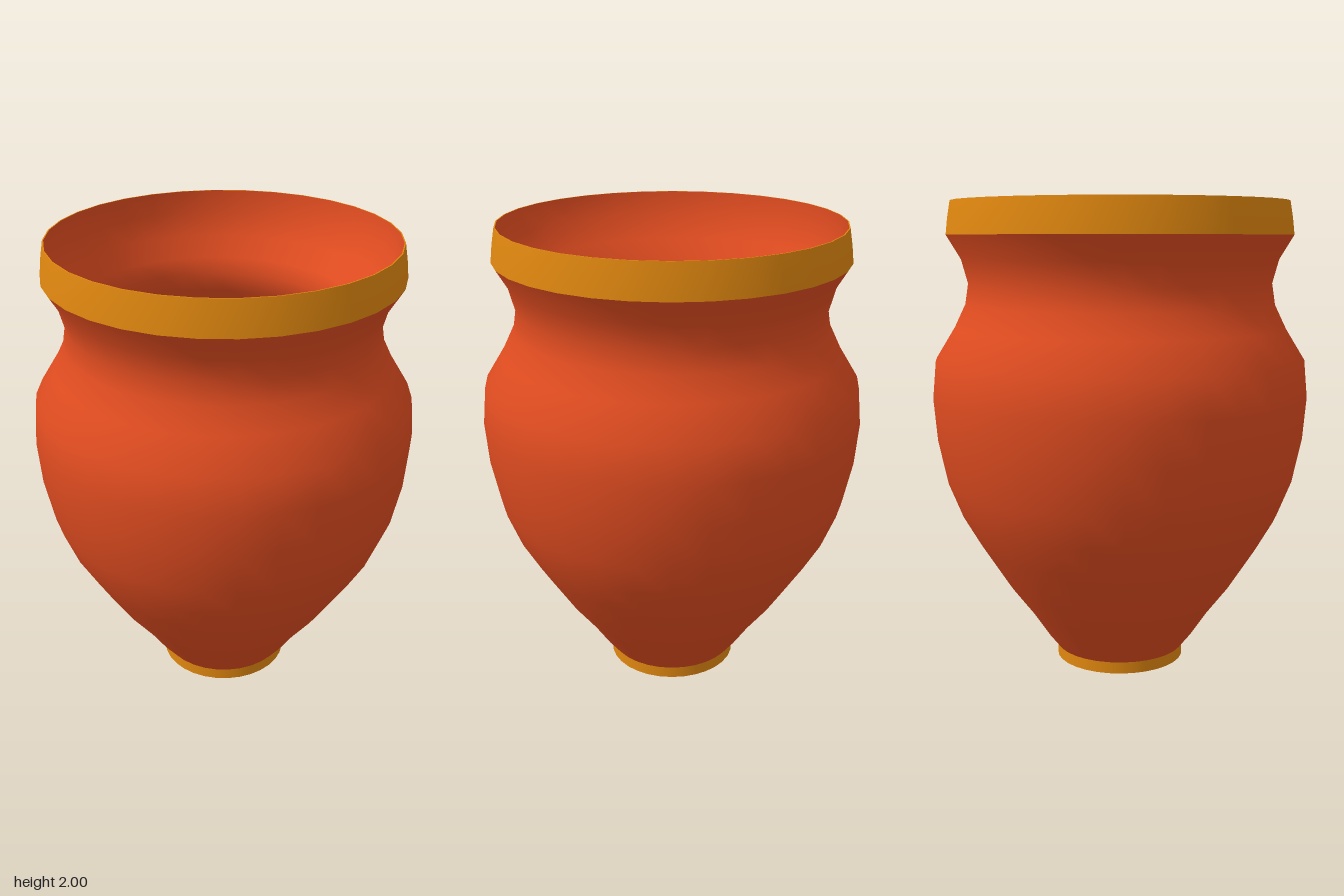
import * as THREE from 'three';
import { mergeVertices } from 'three/addons/utils/BufferGeometryUtils.js';

const SEGMENTS = 32;
const clay = new THREE.MeshStandardMaterial({ color: 0xe04c20 });
const glaze = new THREE.MeshStandardMaterial({ color: 0xe0870f });

// Revolve [radius, y] points: upward points face out, downward points face in
function lathe(points) {
  return new THREE.LatheGeometry(points.map(([r, y]) => new THREE.Vector2(r, y)), SEGMENTS);
}

// Weld the seam and recompute smooth normals after moving vertices
function smooth(geometry) {
  geometry.deleteAttribute('uv');
  geometry.deleteAttribute('normal');
  const welded = mergeVertices(geometry, 1e-4);
  welded.computeVertexNormals();
  return welded;
}

// The hollow leans toward the back and sits off centre below the neck
function shiftHollow(geometry) {
  const p = geometry.attributes.position;
  for (let i = 0; i < p.count; i++) {
    const y = p.getY(i);
    const t = THREE.MathUtils.smoothstep(2 - y, 0, 0.36);
    const dx = THREE.MathUtils.lerp(0.02, -0.02, THREE.MathUtils.clamp(y / 1.65, 0, 1));
    p.setX(i, p.getX(i) + dx * t);
    p.setZ(i, p.getZ(i) - 0.08 * t);
  }
  return smooth(geometry);
}

export function createModel() {
  const group = new THREE.Group();
  const add = (name, geometry, material) => {
    const mesh = new THREE.Mesh(geometry, material);
    mesh.name = name;
    group.add(mesh);
  };

  // Foot
  add('foot', new THREE.CylinderGeometry(0.28, 0.28, 0.05, SEGMENTS).translate(0, 0.025, 0), glaze);

  // Outer wall: tapering belly, shoulder, pinched neck and flare
  add('outerWall', lathe([
    [0.28, 0.05], [0.335, 0.12], [0.405, 0.225], [0.5, 0.35], [0.615, 0.53], [0.69, 0.66],
    [0.75, 0.81], [0.79, 1.0], [0.805, 1.18], [0.79, 1.34], [0.71, 1.47], [0.662, 1.57],
    [0.648, 1.66], [0.675, 1.76], [0.735, 1.86],
  ]), clay);

  // Rim band and its thin lip
  add('rim', lathe([[0.735, 1.86], [0.727, 1.93], [0.715, 2]]), glaze);
  add('rimLip', lathe([[0.715, 2], [0.71, 2]]), glaze);

  // Inner wall, running down from the lip to a raised floor ring
  add('innerWall', shiftHollow(lathe([
    [0.71, 2], [0.7, 1.9], [0.64, 1.8], [0.57, 1.71], [0.54, 1.64], [0.56, 1.55], [0.62, 1.45],
    [0.68, 1.34], [0.69, 1.18], [0.68, 1.0], [0.64, 0.81], [0.58, 0.66], [0.5, 0.5],
    [0.4, 0.34], [0.29, 0.2], [0.245, 0.25],
  ])), clay);

  // Inner floor with a low diagonal ridge
  const floor = new THREE.RingGeometry(0, 0.245, SEGMENTS, 6).rotateX(-Math.PI / 2);
  const p = floor.attributes.position;
  for (let i = 0; i < p.count; i++) {
    const x = p.getX(i), z = p.getZ(i);
    const across = Math.abs(0.37 * x + 0.93 * z);
    const fade = 1 - Math.hypot(x, z) / 0.245;
    p.setY(i, 0.25 + 0.03 * Math.max(0, 1 - across / 0.08) * fade);
  }
  add('innerFloor', shiftHollow(floor), clay);

  return group;
}
